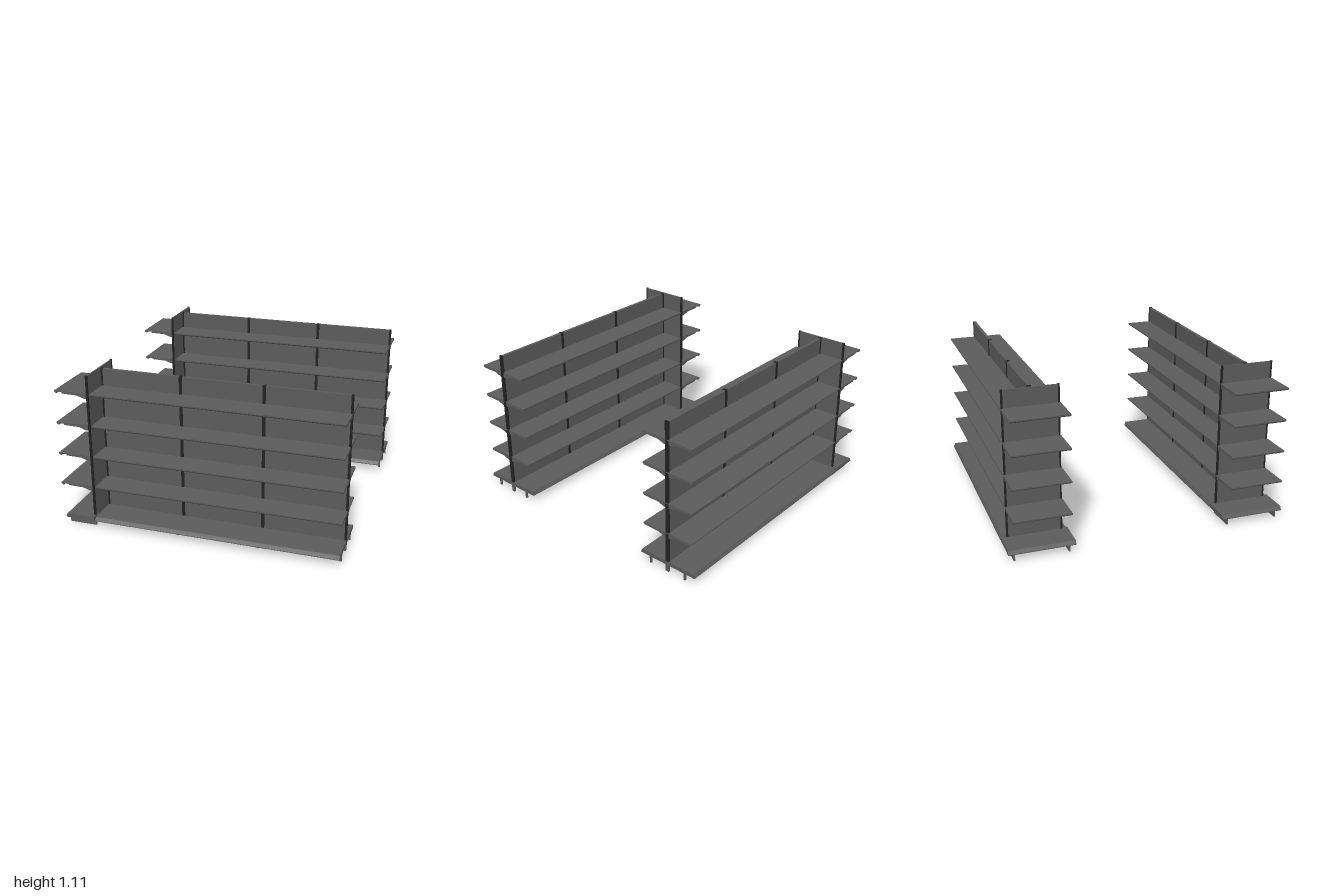
import * as THREE from 'three';

const grey = new THREE.MeshStandardMaterial({ color: 0x5b5b5b });
grey.name = 'grey panel';
const dark = new THREE.MeshStandardMaterial({ color: 0x222222 });
dark.name = 'dark post';

// Directions in which a profile's depth axis can point
const FRONT = -Math.PI / 2, BACK = Math.PI / 2, END = Math.PI;

// Profiles as [depth, height] pairs
const shelfProfile = [
  [0, 0], [0.2, 0], [0.2, -0.009], [0.19, -0.018], [0.184, -0.018], [0.184, -0.008], [0, -0.008],
];
const bracketProfile = [
  [0, -0.007], [0.183, -0.007], [0.183, -0.019], [0.07, -0.021], [0.02, -0.038], [0, -0.038],
];
const deckProfile = [
  [0, 0.05], [0.23, 0.05], [0.23, 0.055], [0.218, 0.079], [0, 0.079],
];

function box(name, material, [x0, x1], [y0, y1], [z0, z1]) {
  const mesh = new THREE.Mesh(new THREE.BoxGeometry(x1 - x0, y1 - y0, z1 - z0), material);
  mesh.name = name;
  mesh.position.set((x0 + x1) / 2, (y0 + y1) / 2, (z0 + z1) / 2);
  return mesh;
}

// Extrude a profile sideways, centred on its position, facing one direction
function extrusion(name, points, length, facing, x, y, z) {
  const shape = new THREE.Shape(points.map(([d, h]) => new THREE.Vector2(d, h)));
  const geometry = new THREE.ExtrudeGeometry(shape, { depth: length, bevelEnabled: false });
  geometry.translate(0, 0, -length / 2);
  const mesh = new THREE.Mesh(geometry, grey);
  mesh.name = name;
  mesh.rotation.y = facing;
  mesh.position.set(x, y, z);
  return mesh;
}

const shelfHeights = [0.302, 0.529, 0.756, 0.984];
const top = 1.108;
const posts = [[-0.738, -0.725], [-0.171, -0.149], [0.405, 0.427], [0.982, 0.995]];

function mainRun() {
  const run = new THREE.Group();
  run.name = 'mainRun';
  const left = -0.738, right = 0.995, middle = (left + right) / 2, length = right - left;

  // Uprights, with feet below the deck
  posts.forEach((span, i) => {
    run.add(box('post', dark, span, [0.06, top], [-0.013, 0.013]));
    if (i === 0) return;
    for (const z of [-0.145, 0, 0.145]) {
      const half = z === 0 ? 0.013 : 0.007;
      run.add(box('foot', grey, span, [0, 0.055], [z - half, z + half]));
    }
  });

  // Back panels between the uprights
  for (let i = 0; i < posts.length - 1; i++) {
    run.add(box('backPanel', grey, [posts[i][1], posts[i + 1][0]], [0.07, top - 0.002], [-0.011, 0.011]));
  }

  // Deck, shelves and brackets on both sides
  for (const facing of [FRONT, BACK]) {
    const side = facing === FRONT ? 1 : -1;
    run.add(extrusion('baseDeck', deckProfile, length, facing, middle, 0, 0));
    for (const y of shelfHeights) {
      run.add(extrusion('shelf', shelfProfile, length, facing, middle, y, 0));
      for (const [a, b] of posts) {
        run.add(extrusion('bracket', bracketProfile, b - a - 0.004, facing, (a + b) / 2, y, side * 0.004));
      }
    }
  }
  return run;
}

function endUnit() {
  const unit = new THREE.Group();
  unit.name = 'endUnit';
  const x = [-0.765, -0.751];

  // End panel framed by two uprights
  unit.add(box('endPanel', grey, [-0.763, -0.753], [0.07, top - 0.002], [-0.181, 0.181]));
  for (const s of [-1, 1]) {
    const z = s * 0.187;
    unit.add(box('endPost', dark, x, [0.07, top], [z - 0.006, z + 0.006]));
    unit.add(box('endFootPlate', grey, [-0.95, -0.75], [0, 0.052], [z - 0.005, z + 0.005]));
    for (const y of shelfHeights) {
      unit.add(extrusion('endBracket', bracketProfile, 0.009, END, -0.764, y, z));
    }
  }

  // Base and shelves, a little deeper than the panel is wide
  const base = extrusion('endDeck', deckProfile, 0.458, END, -0.75, 0, 0);
  base.scale.x = 0.93;
  unit.add(base);
  for (const y of shelfHeights) {
    const shelf = extrusion('endShelf', shelfProfile, 0.394, END, -0.764, y, 0);
    shelf.scale.x = 1.18;
    unit.add(shelf);
  }
  return unit;
}

export function createModel() {
  const model = new THREE.Group();
  model.name = 'shopShelving';
  for (const z of [0.764, -0.764]) {
    const gondola = new THREE.Group();
    gondola.name = z > 0 ? 'frontShelving' : 'rearShelving';
    gondola.add(mainRun(), endUnit());
    gondola.position.z = z;
    model.add(gondola);
  }
  return model;
}
